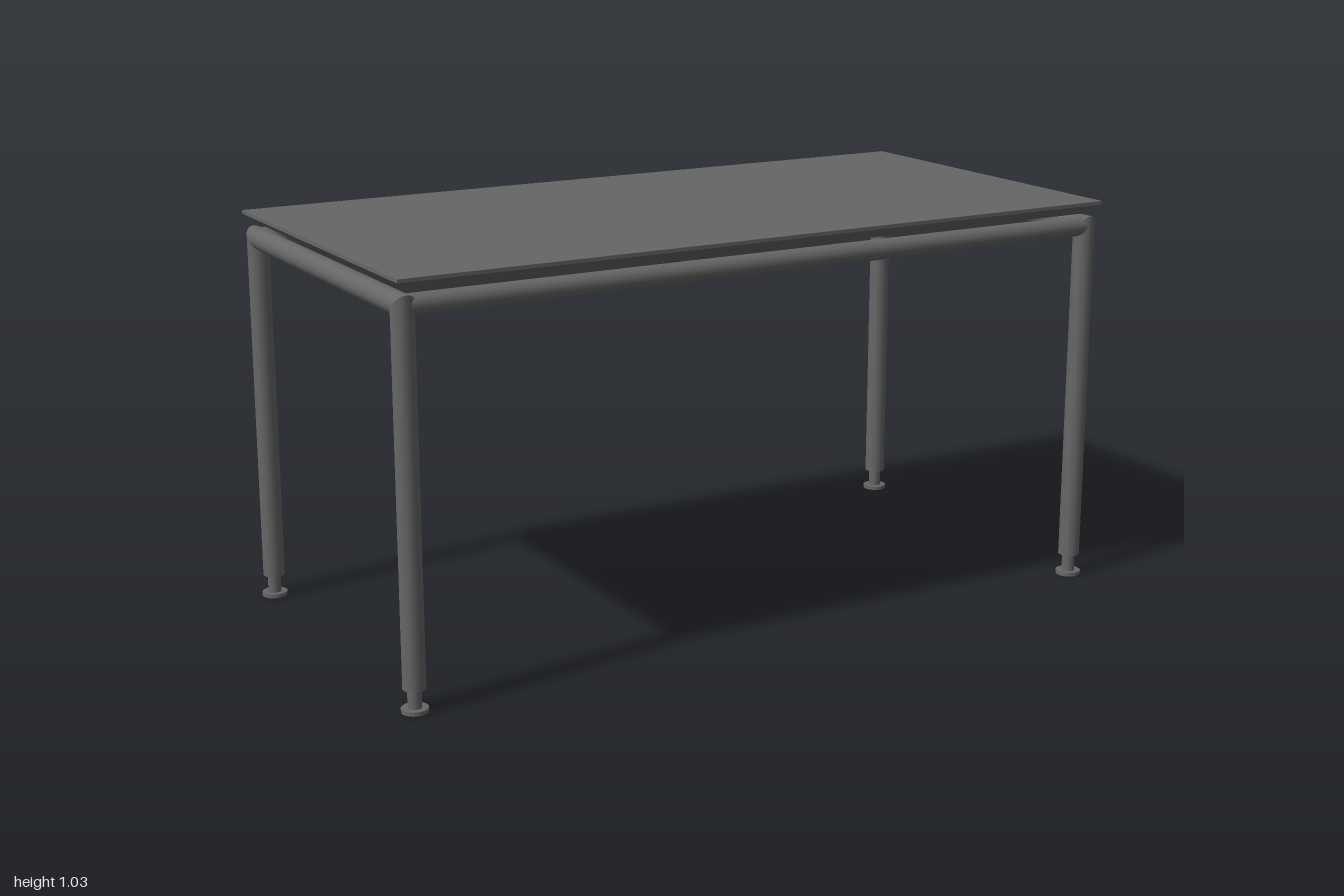
import * as THREE from 'three';

const LEG_X = 0.967, LEG_Z = 0.46, R = 0.028, BEAM_Y = 0.962;

export function createModel() {
  const group = new THREE.Group();
  const material = new THREE.MeshStandardMaterial({ color: 0x666666 });

  const add = (name, geometry, x = 0, y = 0, z = 0) => {
    const mesh = new THREE.Mesh(geometry, material);
    mesh.name = name;
    mesh.position.set(x, y, z);
    group.add(mesh);
    return mesh;
  };

  // Upright tube from y0 to y1 whose ends are cut along y = end + slope * z
  const mitredTube = (radius, y0, y1, slope0, slope1) => {
    const g = new THREE.CylinderGeometry(radius, radius, y1 - y0, 24);
    g.translate(0, (y0 + y1) / 2, 0);
    const p = g.attributes.position;
    const mid = (y0 + y1) / 2;
    for (let i = 0; i < p.count; i++) {
      const slope = p.getY(i) > mid ? slope1 : slope0;
      p.setY(i, p.getY(i) + slope * p.getZ(i));
    }
    return g;
  };

  // Table top: short vertical lip, then an undercut bevel to a smaller underside
  const top = new THREE.BoxGeometry(1.986, 0.036, 0.994, 1, 2, 1);
  const p = top.attributes.position;
  for (let i = 0; i < p.count; i++) {
    const y = p.getY(i);
    if (Math.abs(y) < 0.001) p.setY(i, 0.009);
    if (y < -0.01) {
      p.setX(i, p.getX(i) - Math.sign(p.getX(i)) * 0.037);
      p.setZ(i, p.getZ(i) - Math.sign(p.getZ(i)) * 0.037);
    }
  }
  const flatTop = top.toNonIndexed();
  flatTop.computeVertexNormals();
  add('tableTop', flatTop, 0, 1.012, 0);

  for (const sx of [-1, 1]) {
    const side = sx > 0 ? 'left' : 'right';

    // End beam, mitred to the legs at both ends
    const beam = mitredTube(R, -LEG_Z, LEG_Z, 1, -1);
    beam.rotateX(Math.PI / 2);
    add(`${side}EndBeam`, beam, sx * LEG_X, BEAM_Y, 0);

    for (const sz of [-1, 1]) {
      const corner = (sz > 0 ? 'front' : 'back') + (sx > 0 ? 'Left' : 'Right');
      const x = sx * LEG_X, z = sz * LEG_Z;
      add(`${corner}Leg`, mitredTube(R, 0.057, BEAM_Y, 0, sz), x, 0, z);
      // Levelling foot
      add(`${corner}FootStem`, new THREE.CylinderGeometry(0.017, 0.017, 0.055, 20), x, 0.0345, z);
      add(`${corner}FootPad`, new THREE.CylinderGeometry(0.033, 0.033, 0.01, 24), x, 0.005, z);
    }
  }

  // Long rails between the end frames
  for (const sz of [-1, 1]) {
    const rail = new THREE.CylinderGeometry(0.026, 0.026, LEG_X * 2 - 0.02, 24);
    rail.rotateZ(Math.PI / 2);
    add(sz > 0 ? 'frontRail' : 'backRail', rail, 0, BEAM_Y, sz * LEG_Z);
  }

  return group;
}
